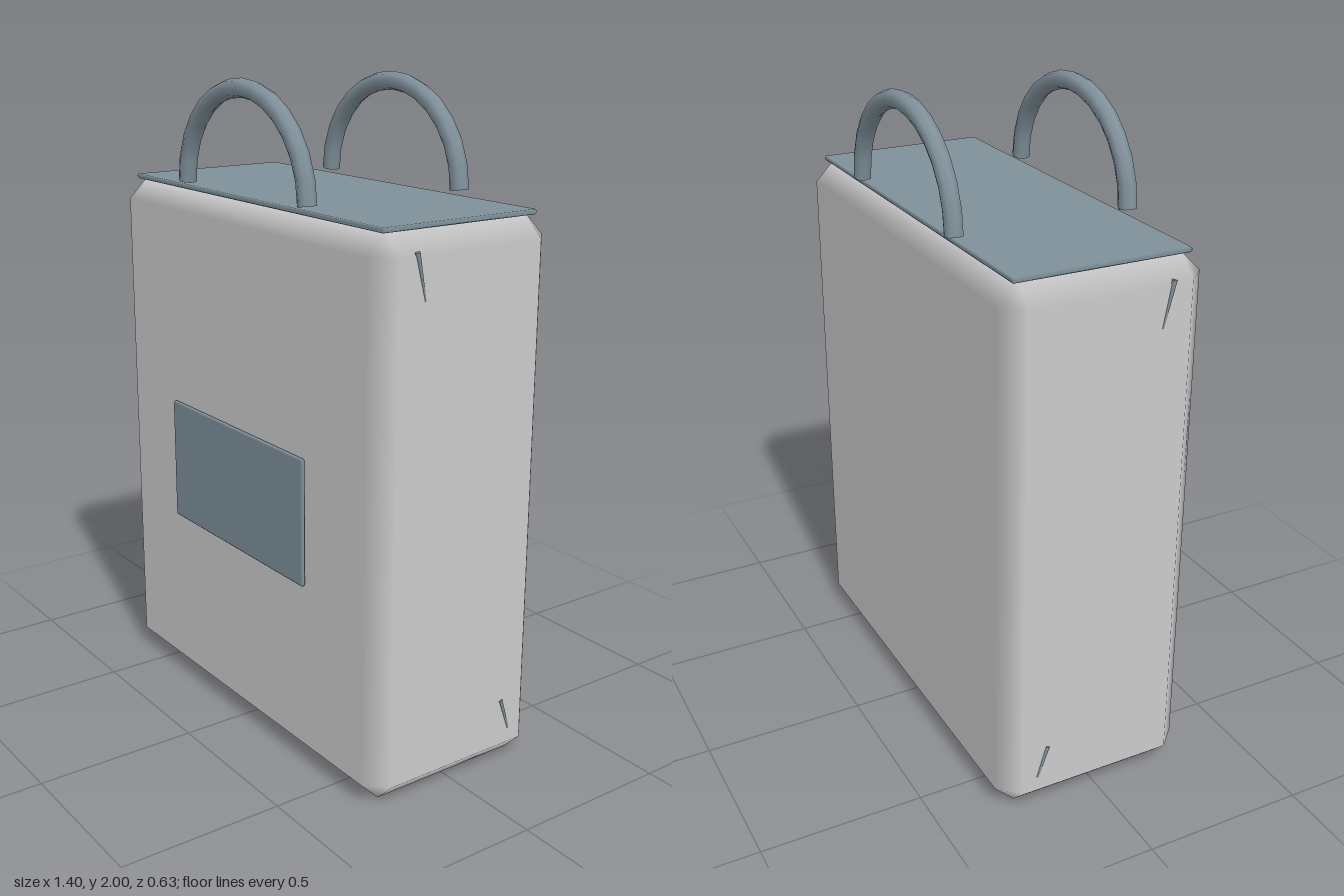
import * as THREE from 'three';
import { ConvexGeometry } from 'three/addons/geometries/ConvexGeometry.js';

const CZ = -0.008; // depth centre of the bag
const shellMat = new THREE.MeshStandardMaterial({ color: 0xc8ccca });
const trimMat = new THREE.MeshStandardMaterial({ color: 0x7f909a });

// Box with one chamfer step, softly shaded: every corner point keeps its face normal.
function chamferBox(w, h, d, c) {
  const half = [w / 2, h / 2, d / 2];
  const points = [];
  for (const sx of [-1, 1]) for (const sy of [-1, 1]) for (const sz of [-1, 1]) {
    const s = [sx, sy, sz];
    for (let axis = 0; axis < 3; axis++) {
      points.push(new THREE.Vector3(...half.map((e, i) => s[i] * (i === axis ? e : e - c))));
    }
  }
  const geo = new ConvexGeometry(points);
  const pos = geo.attributes.position, normal = geo.attributes.normal;
  for (let i = 0; i < pos.count; i++) {
    const p = [pos.getX(i), pos.getY(i), pos.getZ(i)];
    normal.setXYZ(i, ...p.map((v, k) => (Math.abs(v) > half[k] - c / 2 ? Math.sign(v) : 0)));
  }
  return geo;
}

function add(parent, name, geo, mat, x = 0, y = 0, z = 0) {
  const mesh = new THREE.Mesh(geo, mat);
  mesh.name = name;
  mesh.position.set(x, y, z);
  parent.add(mesh);
  return mesh;
}

// Arched eight-sided handle with closed ends
function makeHandle(name, z) {
  const handle = new THREE.Group();
  handle.name = name;
  const r = 0.028, rx = 0.319, ry = 0.297, pts = [];
  for (let i = 0; i <= 12; i++) {
    const a = Math.PI * i / 12;
    pts.push(new THREE.Vector3(rx * Math.cos(a), ry * Math.sin(a), 0));
  }
  const curve = new THREE.CatmullRomCurve3(pts);
  add(handle, 'handleArch', new THREE.TubeGeometry(curve, 14, r, 8), trimMat);
  for (const side of [-1, 1]) {
    add(handle, 'handleEnd', new THREE.CircleGeometry(r, 8), trimMat, side * rx).rotation.x = Math.PI / 2;
  }
  handle.position.set(0, 1.675, z);
  return handle;
}

export function createModel() {
  const bag = new THREE.Group();
  bag.name = 'bag';

  // Body, flat top and front panel
  add(bag, 'body', chamferBox(1.385, 1.648, 0.616, 0.062), shellMat, 0, 0.824, CZ);
  add(bag, 'topPanel', chamferBox(1.3, 0.015, 0.54, 0.005), trimMat, 0, 1.654, CZ);
  add(bag, 'frontPanel', chamferBox(0.72, 0.39, 0.016, 0.005), trimMat, 0, 0.775, 0.308);

  // Pair of handles
  bag.add(makeHandle('frontHandle', CZ + 0.272), makeHandle('backHandle', CZ - 0.272));

  // Short slanted strap tips showing on both sides
  for (const side of [-1, 1]) {
    const top = add(bag, 'upperStrapTip', new THREE.CylinderGeometry(0.008, 0.003, 0.135, 6), trimMat, side * 0.691, 1.53, 0.165);
    top.rotation.x = 0.22;
    const low = add(bag, 'lowerStrapTip', new THREE.CylinderGeometry(0.007, 0.004, 0.105, 6), trimMat, side * 0.691, 0.16, -0.19);
    low.rotation.x = 0.32;
  }
  return bag;
}
